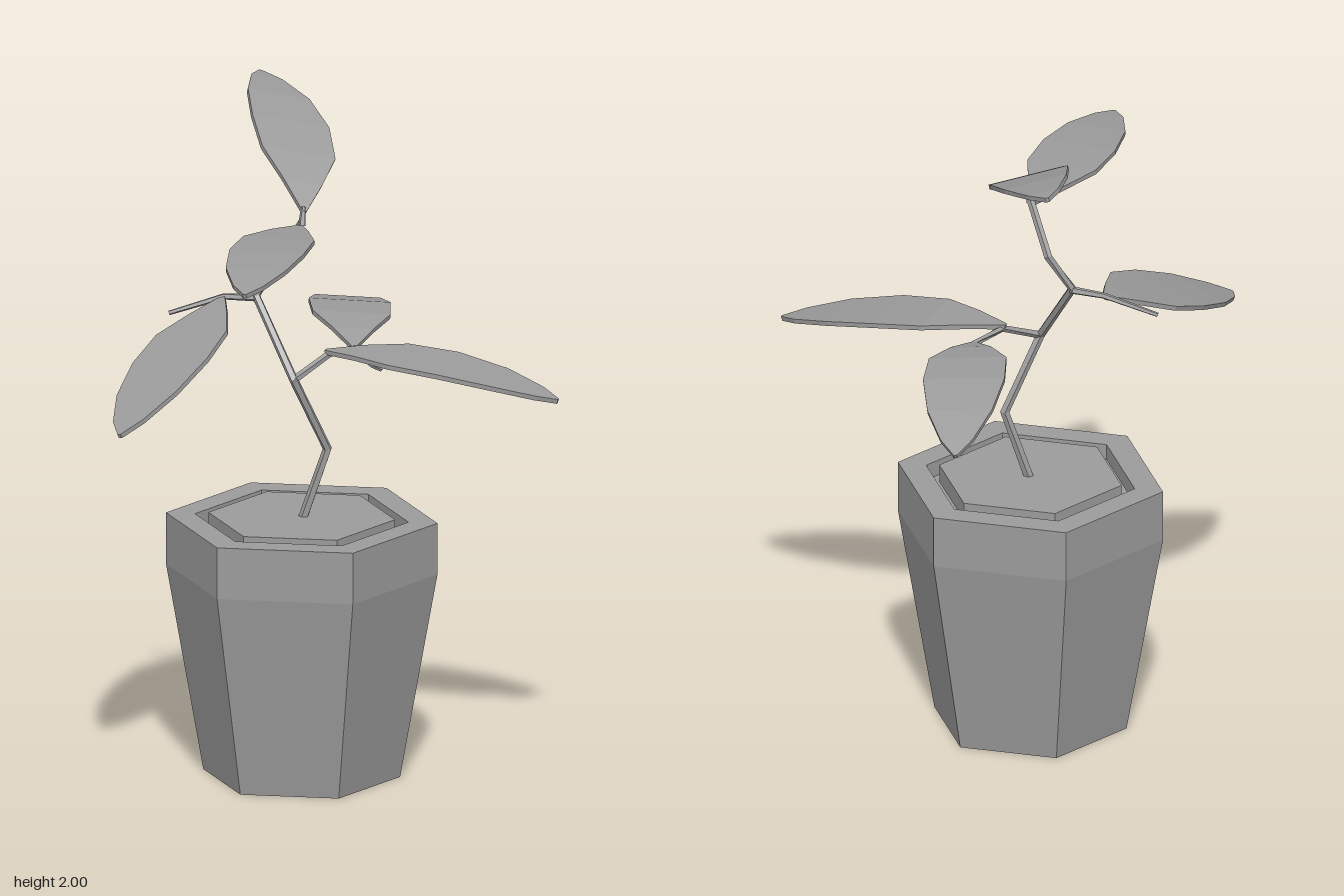
import * as THREE from 'three';

const material = new THREE.MeshStandardMaterial({ color: 0x9b9b9b, flatShading: true });
const vec = (p) => new THREE.Vector3(...p);

function addMesh(parent, name, geometry) {
  const mesh = new THREE.Mesh(geometry, material);
  mesh.name = name;
  parent.add(mesh);
}

// Skin a closed solid over rings that run counter-clockwise about the path
function loft(rings) {
  const n = rings[0].length, last = (rings.length - 1) * n, index = [];
  for (let i = 0; i < rings.length - 1; i++) {
    for (let j = 0; j < n; j++) {
      const a = i * n + j, b = i * n + (j + 1) % n;
      index.push(a, b, b + n, a, b + n, a + n);
    }
  }
  for (let j = 1; j < n - 1; j++) index.push(0, j + 1, j, last, last + j, last + j + 1);
  const geometry = new THREE.BufferGeometry().setFromPoints(rings.flat());
  geometry.setIndex(index);
  geometry.computeVertexNormals();
  return geometry;
}

// Angular, tapering stalk with mitred joints
function stalk(path, r0, r1, sides = 5) {
  const pts = path.map(vec);
  const rings = pts.map((p, i) => {
    const t = pts[Math.min(i + 1, pts.length - 1)].clone().sub(pts[Math.max(i - 1, 0)]).normalize();
    const u = new THREE.Vector3(0, 0, 1).cross(t).normalize();
    const v = t.clone().cross(u);
    const r = THREE.MathUtils.lerp(r0, r1, i / (pts.length - 1));
    return Array.from({ length: sides }, (_, j) => {
      const a = (j / sides) * Math.PI * 2;
      return p.clone().addScaledVector(u, r * Math.cos(a)).addScaledVector(v, r * Math.sin(a));
    });
  });
  return loft(rings);
}

// Thin arched blade: midrib through base, mid and tip, half-width vector across
const outline = [[0, 0.06], [0.15, 0.5], [0.32, 0.95], [0.53, 1], [0.75, 0.8], [0.92, 0.4], [1, 0.04]];
function leaf(base, mid, tip, across) {
  const b = vec(base), e = vec(tip), w = vec(across);
  const control = vec(mid).multiplyScalar(2).addScaledVector(b, -0.5).addScaledVector(e, -0.5);
  const rib = new THREE.QuadraticBezierCurve3(b, control, e);
  const rings = outline.map(([t, width]) => {
    const p = rib.getPoint(t);
    const up = rib.getTangent(t).cross(w).normalize();
    return [[1, 1], [-1, 1], [-1, -1], [1, -1]].map(([s, h]) =>
      p.clone().addScaledVector(w, s * width).addScaledVector(up, h * 0.007));
  });
  return loft(rings);
}

// Six-sided turned solid, corners on the x axis
function hexLathe(profile) {
  return new THREE.LatheGeometry(profile.map(([r, y]) => new THREE.Vector2(r, y)), 6, Math.PI / 6);
}

export function createModel() {
  const model = new THREE.Group();
  model.name = 'pottedPlant';

  // Pot with upright rim, and the soil block inside it
  const pot = new THREE.Group();
  pot.name = 'planter';
  pot.position.set(-0.145, 0, 0.052);
  model.add(pot);
  addMesh(pot, 'pot', hexLathe([[0, 0], [0.295, 0], [0.407, 0.63], [0.407, 0.788], [0.32, 0.788], [0.32, 0.74], [0, 0.74]]));
  addMesh(pot, 'soil', hexLathe([[0.28, 0.735], [0.28, 0.794], [0, 0.794]]));

  // Zigzag main stem
  addMesh(model, 'stem', stalk([
    [-0.147, 0.77, 0.052], [-0.07, 1.0, 0.036], [-0.16, 1.23, 0.11],
    [-0.29, 1.45, -0.01], [-0.225, 1.56, -0.042], [-0.145, 1.7, 0.05],
  ], 0.015, 0.012));

  // Side twigs
  const twigs = {
    innerTwig: [[-0.16, 1.23, 0.11], [-0.07, 1.285, 0.01], [-0.01, 1.275, -0.1], [0.045, 1.222, -0.105], [0.07, 1.207, -0.118]],
    outerTwig: [[-0.285, 1.445, -0.01], [-0.39, 1.442, -0.018], [-0.55, 1.39, 0.0]],
    topStalk: [[-0.145, 1.69, 0.05], [-0.142, 1.745, 0.035]],
  };
  for (const [name, path] of Object.entries(twigs)) addMesh(model, name, stalk(path, 0.012, 0.007));

  // Leaves: base, middle, tip, half-width vector
  const leaves = {
    topLeaf: [[-0.14, 1.73, 0.04], [-0.217, 1.91, -0.24], [-0.355, 1.987, -0.542], [0.11, -0.028, -0.038]],
    upperFrontLeaf: [[-0.15, 1.685, 0.05], [-0.195, 1.709, 0.4], [-0.215, 1.672, 0.758], [0.113, 0, 0.01]],
    lowFrontLeaf: [[-0.39, 1.437, -0.015], [-0.495, 1.335, 0.29], [-0.608, 1.187, 0.63], [0.118, 0.025, 0.045]],
    sideLeaf: [[-0.08, 1.292, 0.01], [0.27, 1.28, 0.05], [0.63, 1.194, 0.1], [-0.017, -0.003, 0.115]],
    backLeaf: [[-0.01, 1.275, -0.1], [-0.068, 1.318, -0.42], [-0.13, 1.217, -0.758], [0.12, -0.008, -0.02]],
  };
  for (const [name, args] of Object.entries(leaves)) addMesh(model, name, leaf(...args));

  return model;
}
